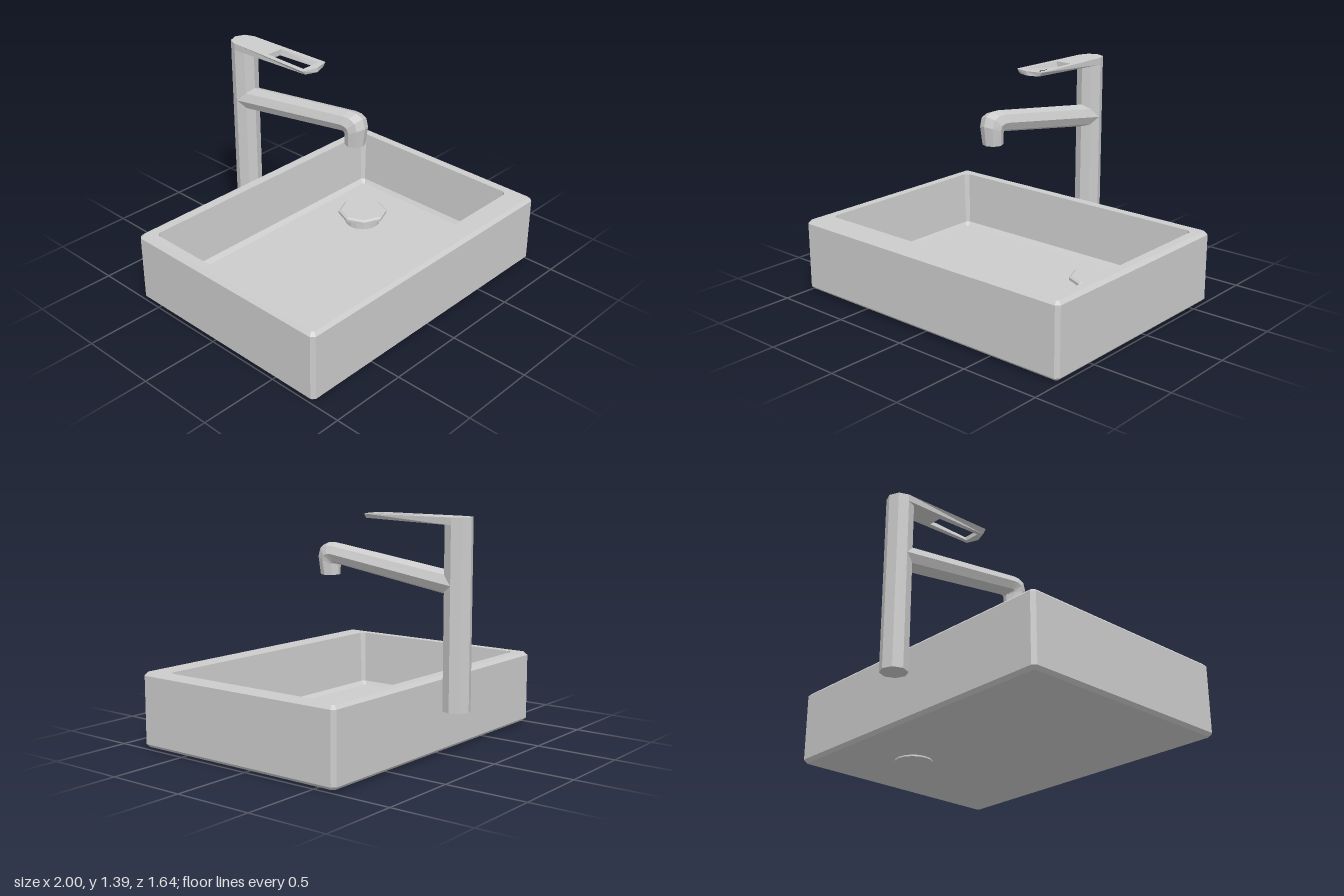
import * as THREE from 'three';

const material = new THREE.MeshStandardMaterial({ color: 0xcccccc, flatShading: true });

function addMesh(parent, name, geometry) {
  const mesh = new THREE.Mesh(geometry, material);
  mesh.name = name;
  parent.add(mesh);
  return mesh;
}

// Skins a run of equal-length rings and closes both ends with a fan.
// Rings run counter-clockwise as seen from ahead of the direction of travel.
function loft(rings) {
  const out = [];
  const tri = (...pts) => pts.forEach((p) => out.push(p.x, p.y, p.z));
  const n = rings[0].length;
  const middle = (ring) =>
    ring.reduce((sum, p) => sum.add(p), new THREE.Vector3()).divideScalar(n);
  const first = rings[0], last = rings[rings.length - 1];
  const c0 = middle(first), c1 = middle(last);
  for (let i = 0; i < n; i++) {
    const j = (i + 1) % n;
    for (let k = 0; k + 1 < rings.length; k++) {
      const a = rings[k], b = rings[k + 1];
      tri(a[i], a[j], b[j]);
      tri(a[i], b[j], b[i]);
    }
    tri(c0, first[j], first[i]);
    tri(c1, last[i], last[j]);
  }
  const geometry = new THREE.BufferGeometry();
  geometry.setAttribute('position', new THREE.Float32BufferAttribute(out, 3));
  geometry.computeVertexNormals();
  return geometry;
}

// Horizontal rectangle with cut corners
function cutRect(y, hx, back, front, cut) {
  return [
    [hx, front - cut], [hx, back + cut], [hx - cut, back], [-hx + cut, back],
    [-hx, back + cut], [-hx, front - cut], [-hx + cut, front], [hx - cut, front],
  ].map(([x, z]) => new THREE.Vector3(x, y, z));
}

// Eight-sided ring between an upper and a lower [z, y] point
function spoutRing([top, bottom, halfWidth]) {
  return Array.from({ length: 8 }, (_, i) => {
    const a = (i / 8) * Math.PI * 2;
    const t = (1 + Math.sin(a)) / 2;
    return new THREE.Vector3(
      Math.cos(a) * halfWidth,
      THREE.MathUtils.lerp(bottom[1], top[1], t),
      THREE.MathUtils.lerp(bottom[0], top[0], t)
    );
  });
}

// Lever: flat top, underside thinning and narrowing towards the tip
function leverGeometry(poleZ, r) {
  const shape = new THREE.Shape();
  const d = r * Math.SQRT1_2;
  const side = [[0.098, -0.135], [r, poleZ], [d, poleZ - d]];
  shape.moveTo(0, -0.107);
  side.forEach(([x, z]) => shape.lineTo(x, z));
  shape.lineTo(0, poleZ - r);
  side.reverse().forEach(([x, z]) => shape.lineTo(-x, z));
  shape.closePath();
  const hole = new THREE.Path();
  hole.moveTo(-0.057, -0.465);
  hole.lineTo(0.057, -0.465);
  hole.lineTo(0.065, -0.16);
  hole.lineTo(-0.065, -0.16);
  hole.closePath();
  shape.holes.push(hole);

  const geometry = new THREE.ExtrudeGeometry(shape, { depth: 1, bevelEnabled: false });
  geometry.rotateX(Math.PI / 2);
  const p = geometry.attributes.position;
  for (let i = 0; i < p.count; i++) {
    const depth = -p.getY(i);
    const forward = THREE.MathUtils.clamp((p.getZ(i) + 0.66) / 0.55, 0, 1);
    p.setY(i, 1.39 - depth * THREE.MathUtils.lerp(0.044, 0.026, forward));
    p.setX(i, p.getX(i) * (1 - 0.24 * depth * Math.min(1, forward * 3)));
  }
  geometry.computeVertexNormals();
  return geometry;
}

export function createModel() {
  const model = new THREE.Group();
  model.name = 'washbasinWithTap';

  // Basin: up the outside, over the rim and down to the bowl floor
  addMesh(model, 'basin', loft([
    cutRect(0.01, 0.98, -0.62, 0.80, 0.012),
    cutRect(0.03, 1.0, -0.64, 0.82, 0.022),
    cutRect(0.445, 1.0, -0.64, 0.82, 0.022),
    cutRect(0.465, 0.98, -0.62, 0.80, 0.012),
    cutRect(0.465, 0.925, -0.56, 0.665, 0.025),
    cutRect(0.125, 0.902, -0.54, 0.64, 0.02),
    cutRect(0.1, 0.882, -0.512, 0.613, 0.01),
  ]));

  // Drain: pipe through the floor and a raised octagonal plug
  const drain = new THREE.Group();
  drain.name = 'drain';
  drain.position.set(0.495, 0, -0.175);
  model.add(drain);
  addMesh(drain, 'drainPipe', new THREE.CylinderGeometry(0.115, 0.115, 0.165, 16))
    .position.y = 0.0825;
  const plugProfile = [[0, 0.16], [0.16, 0.16], [0.16, 0.178], [0.145, 0.188], [0, 0.188]]
    .map(([r, y]) => new THREE.Vector2(r, y));
  addMesh(drain, 'drainPlug', new THREE.LatheGeometry(plugProfile, 8));

  // Tap: column, spout and lever
  const tap = new THREE.Group();
  tap.name = 'tap';
  model.add(tap);
  const poleZ = -0.738, poleRadius = 0.083;
  addMesh(tap, 'column', new THREE.CylinderGeometry(poleRadius, poleRadius, 1.085, 8))
    .position.set(0, 0.27 + 1.085 / 2, poleZ);

  addMesh(tap, 'spout', loft([
    [[-0.74, 1.076], [-0.74, 0.931], 0.082],
    [[0.15, 1.198], [0.137, 1.066], 0.075],
    [[0.205, 1.198], [0.138, 1.065], 0.075],
    [[0.255, 1.177], [0.138, 1.063], 0.073],
    [[0.274, 1.12], [0.138, 1.06], 0.07],
    [[0.258, 1.0], [0.137, 1.0], 0.062],
  ].map(spoutRing)));

  addMesh(tap, 'lever', leverGeometry(poleZ, poleRadius));
  return model;
}
